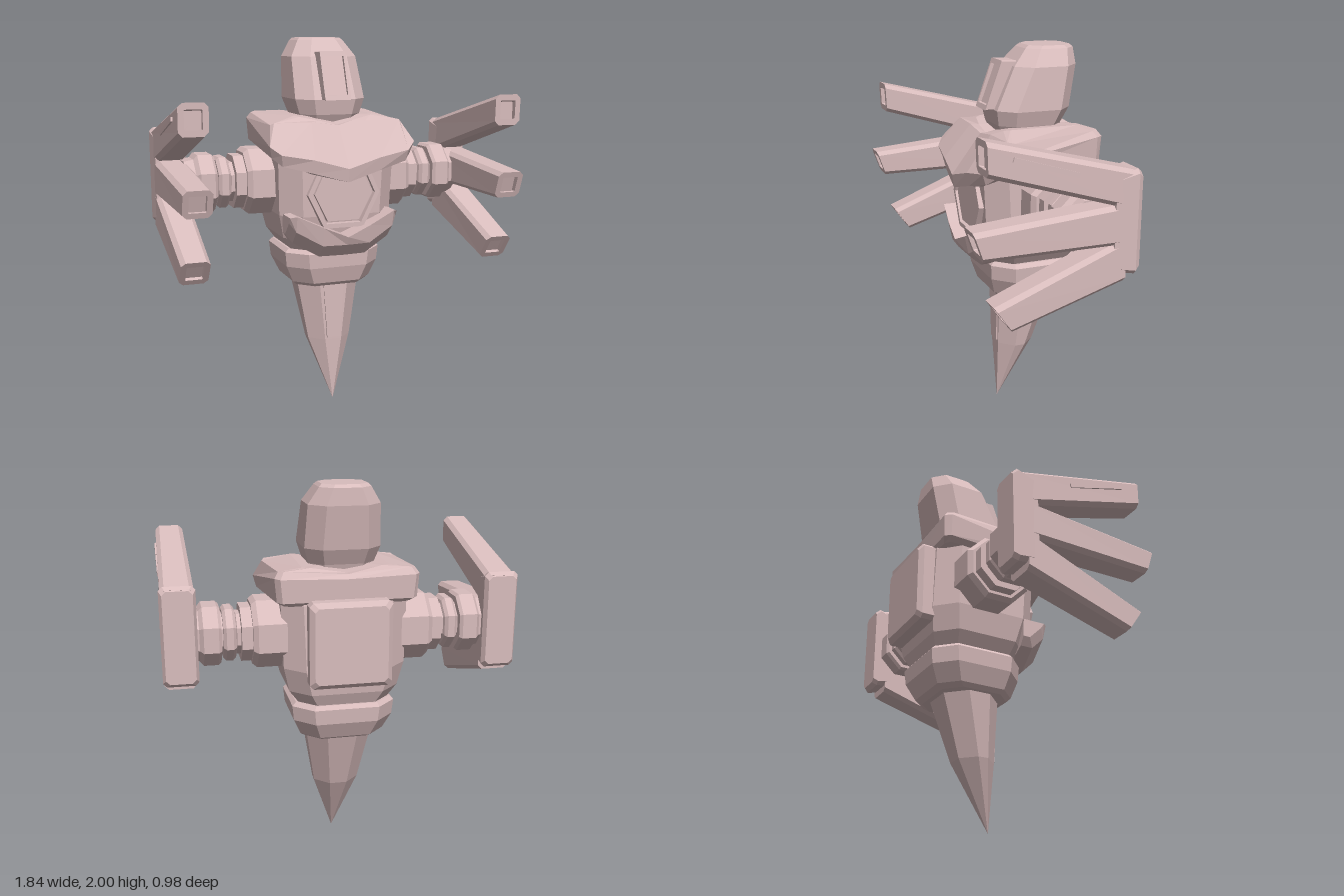
import * as THREE from 'three';

const shell = new THREE.MeshStandardMaterial({ color: 0xd8bcbc });
shell.name = 'dusty pink shell';

// Closed, flat-shaded skin over a list of equally long rings of [x, y, z].
function loft(name, rings) {
  const tris = [];
  const n = rings[0].length;
  for (let r = 0; r < rings.length - 1; r++) {
    for (let i = 0; i < n; i++) {
      const j = (i + 1) % n;
      const [a, b, c, d] = [rings[r][i], rings[r][j], rings[r + 1][j], rings[r + 1][i]];
      tris.push([a, b, c], [a, c, d]);
    }
  }
  const cap = (ring, flip) => {
    const m = [0, 1, 2].map(k => ring.reduce((sum, p) => sum + p[k], 0) / n);
    ring.forEach((p, i) => {
      const q = ring[(i + 1) % n];
      tris.push(flip ? [m, q, p] : [m, p, q]);
    });
  };
  cap(rings[0], true);
  cap(rings[rings.length - 1], false);
  // A negative volume means the skin is inside out
  let volume = 0;
  for (const [a, b, c] of tris) {
    volume += new THREE.Vector3(...a).dot(new THREE.Vector3(...b).cross(new THREE.Vector3(...c)));
  }
  const flat = (volume < 0 ? tris.map(([a, b, c]) => [a, c, b]) : tris).flat(2);
  const geo = new THREE.BufferGeometry();
  geo.setAttribute('position', new THREE.Float32BufferAttribute(flat, 3));
  geo.computeVertexNormals();
  const mesh = new THREE.Mesh(geo, shell);
  mesh.name = name;
  return mesh;
}

// Rectangle with cut corners
function oct(u0, u1, v0, v1, c) {
  return [[u0 + c, v0], [u1 - c, v0], [u1, v0 + c], [u1, v1 - c],
    [u1 - c, v1], [u0 + c, v1], [u0, v1 - c], [u0, v0 + c]];
}
// Horizontal ring: height, half width, back z, front z, corner cut
const level = ([y, w, z0, z1, c]) => oct(-w, w, z0, z1, c).map(([x, z]) => [x, y, z]);
// Upright ring facing z
const facing = (z, x0, x1, y0, y1, c) => oct(x0, x1, y0, y1, c).map(([x, y]) => [x, y, z]);

// Bar between two tilted ends, with a sunken socket in its tip.
// Each end is { t: [z, y], b: [z, y], w: half width }.
function socketBar(name, cx, base, tip, cut, frac, depth) {
  const ring = ({ t, b, w }, c, shrink = 1) => {
    const h = Math.hypot(t[0] - b[0], t[1] - b[1]);
    return oct(-w, w, 0, 1, 0).map((_, i) => {
      const [u, v] = oct(-w, w, -h / 2, h / 2, c)[i];
      const k = 0.5 + (v * shrink) / h;
      return [cx + u * shrink, b[1] + (t[1] - b[1]) * k, b[0] + (t[0] - b[0]) * k];
    });
  };
  const outer = ring(tip, cut), back = ring(base, cut), lip = ring(tip, cut * 0.3, frac);
  const inner = ring(base, cut * 0.3, frac);
  const floor = lip.map((p, i) => p.map((v, k) => v + (inner[i][k] - v) * depth));
  return loft(name, [back, outer, lip, floor]);
}

// Right half of an outline mirrored to a whole ring
const mirrorRing = half => [...half, ...half.slice(1, -1).reverse().map(([x, y, z]) => [-x, y, z])];

// Extruded flat outline standing at depth z
function plate(name, outline, hole, z, thickness) {
  const shape = new THREE.Shape(outline.map(p => new THREE.Vector2(...p)));
  if (hole) shape.holes.push(new THREE.Path(hole.map(p => new THREE.Vector2(...p))));
  const geo = new THREE.ExtrudeGeometry(shape, { depth: thickness, bevelEnabled: false });
  const mesh = new THREE.Mesh(geo, shell);
  mesh.name = name;
  mesh.position.z = z;
  return mesh;
}

function createArm(s) {
  const arm = new THREE.Group();
  arm.name = s > 0 ? 'leftArm' : 'rightArm';

  // Stepped octagonal arm: [distance from centre, radius]
  const steps = [[0.26, 0.175], [0.44, 0.175], [0.465, 0.155], [0.465, 0.14], [0.52, 0.14],
    [0.52, 0.105], [0.54, 0.105], [0.545, 0.12], [0.56, 0.135], [0.595, 0.135], [0.61, 0.12],
    [0.61, 0.105], [0.62, 0.105], [0.62, 0.14], [0.635, 0.153], [0.71, 0.153], [0.73, 0.13], [0.78, 0.12]];
  arm.add(loft('armSegments', steps.map(([x, r]) =>
    oct(-r, r, -r, r, r * 0.58).map(([y, z]) => [s * x, 1.245 + y, -0.155 + z]))));

  // Upright palm behind the fingers
  const cx = s * 0.83;
  arm.add(loft('palm', [
    facing(-0.2, cx - 0.08, cx + 0.08, 1.04, 1.5, 0.02),
    facing(-0.31, cx - 0.09, cx + 0.09, 1.02, 1.53, 0.02),
    facing(-0.335, cx - 0.075, cx + 0.075, 1.04, 1.51, 0.02),
  ]));

  // Three blunt fingers, fanned out
  const fingers = [
    ['upperFinger', { t: [-0.33, 1.515], b: [-0.21, 1.36] }, { t: [0.425, 1.71], b: [0.42, 1.55] }],
    ['middleFinger', { t: [-0.29, 1.37], b: [-0.23, 1.17] }, { t: [0.488, 1.31], b: [0.44, 1.17] }],
    ['lowerFinger', { t: [-0.26, 1.2], b: [-0.26, 0.99] }, { t: [0.39, 0.945], b: [0.3, 0.815] }],
  ];
  for (const [name, base, tip] of fingers) {
    arm.add(socketBar(name, cx, { ...base, w: 0.083 }, { ...tip, w: 0.073 }, 0.022, 0.6, 0.04));
  }

  // Slim rib on the outside of the upper finger
  const rib = new THREE.Mesh(new THREE.BoxGeometry(0.03, 0.022, 0.33), shell);
  rib.name = 'fingerRib';
  rib.position.set(s * 0.899, 1.578, 0.15);
  rib.rotation.x = -0.3;
  arm.add(rib);
  return arm;
}

export function createModel() {
  const model = new THREE.Group();
  model.name = 'hoveringRobot';

  // Head, leaning back towards the crown
  model.add(loft('head', [
    [1.55, 0.15, -0.28, 0.03, 0.06], [1.6, 0.17, -0.295, 0.055, 0.07],
    [1.68, 0.195, -0.335, 0.07, 0.08], [1.9, 0.183, -0.375, -0.03, 0.08],
    [1.985, 0.13, -0.372, -0.105, 0.06], [2.0, 0.115, -0.355, -0.125, 0.055],
  ].map(level)));
  model.add(socketBar('visor', 0,
    { t: [-0.08, 1.925], b: [0.03, 1.68], w: 0.075 },
    { t: [0.027, 1.93], b: [0.118, 1.68], w: 0.072 }, 0.004, 0.8, 0.2));

  // Breastplate collar: bottom rim, outer rim, shoulder line, flat top
  model.add(loft('breastplate', [
    [[0, 1.29, 0.19], [0.18, 1.31, 0.18], [0.32, 1.37, 0.15], [0.35, 1.4, 0.1], [0.32, 1.42, -0.37], [0.29, 1.42, -0.39], [0, 1.42, -0.39]],
    [[0, 1.27, 0.27], [0.18, 1.32, 0.25], [0.34, 1.36, 0.22], [0.385, 1.4, 0.18], [0.355, 1.44, -0.38], [0.33, 1.44, -0.41], [0, 1.44, -0.41]],
    [[0, 1.34, 0.28], [0.18, 1.39, 0.262], [0.35, 1.42, 0.24], [0.4, 1.46, 0.2], [0.365, 1.56, -0.38], [0.34, 1.56, -0.415], [0, 1.55, -0.415]],
    [[0, 1.55, 0.12], [0.15, 1.57, 0.12], [0.35, 1.57, 0.11], [0.365, 1.56, 0.09], [0.345, 1.59, -0.36], [0.32, 1.595, -0.39], [0, 1.57, -0.39]],
    [[0, 1.55, 0.09], [0.1, 1.575, 0.09], [0.2, 1.595, 0.07], [0.22, 1.6, 0.04], [0.22, 1.6, -0.33], [0.18, 1.6, -0.35], [0, 1.57, -0.35]],
  ].map(mirrorRing)));

  // Torso with hexagonal chest frame
  model.add(loft('torso', [
    [0.86, 0.22, -0.35, 0.1, 0.08], [0.95, 0.285, -0.39, 0.14, 0.1], [1.08, 0.315, -0.41, 0.17, 0.1],
    [1.42, 0.325, -0.4, 0.19, 0.1], [1.52, 0.3, -0.38, 0.12, 0.1],
  ].map(level)));
  const hexagon = k => [[0.2, 0], [0.12, 0.17], [-0.12, 0.17], [-0.2, 0], [-0.11, -0.18], [0.11, -0.18]]
    .map(([x, y]) => [x * k, 1.2 + y * k]);
  model.add(plate('chestFrame', hexagon(1), hexagon(0.87), 0.165, 0.04));
  model.add(plate('chestPanel', hexagon(0.8), null, 0.165, 0.03));

  // V-shaped belt guard, swept from side to side: x, low y, high y, back z, front z
  const guard = [[0.3, 0.99, 1.09, 0.08, 0.21], [0.27, 0.945, 1.1, 0.08, 0.24], [0.13, 0.865, 1.035, 0.08, 0.26], [0, 0.865, 0.98, 0.08, 0.27]];
  const sweep = [...guard, ...guard.slice(0, -1).reverse().map(([x, ...rest]) => [-x, ...rest])];
  model.add(loft('beltGuard', sweep.map(([x, y0, y1, z0, z1]) =>
    [[x, y0, z0], [x, y0, z1 - 0.09], [x, y0 + 0.07, z1 - 0.02], [x, y1, z1], [x, y1, z0]])));

  // Backpack
  model.add(loft('backpack', [
    facing(-0.36, -0.21, 0.21, 1.01, 1.45, 0.02),
    facing(-0.465, -0.21, 0.21, 1.01, 1.45, 0.02),
    facing(-0.488, -0.185, 0.185, 1.035, 1.425, 0.02),
  ]));

  // Pelvis and tapering spike
  model.add(loft('pelvis', [
    [0.675, 0.2, -0.3, 0.075, 0.08], [0.695, 0.222, -0.335, 0.095, 0.09], [0.785, 0.262, -0.38, 0.122, 0.1],
    [0.865, 0.27, -0.387, 0.127, 0.1], [0.885, 0.25, -0.37, 0.11, 0.09],
  ].map(level)));
  model.add(loft('spike', [
    [0.7, 0.182, -0.28, 0.045, 0.1], [0.35, 0.122, -0.165, 0.04, 0.075], [0, 0.001, 0.028, 0.03, 0.0005],
  ].map(level)));
  model.add(plate('spikePanel', [[-0.06, 0.69], [-0.038, 0.365], [0.038, 0.365], [0.06, 0.69]], null, 0.04, 0.009));

  for (const s of [1, -1]) model.add(createArm(s));
  return model;
}
